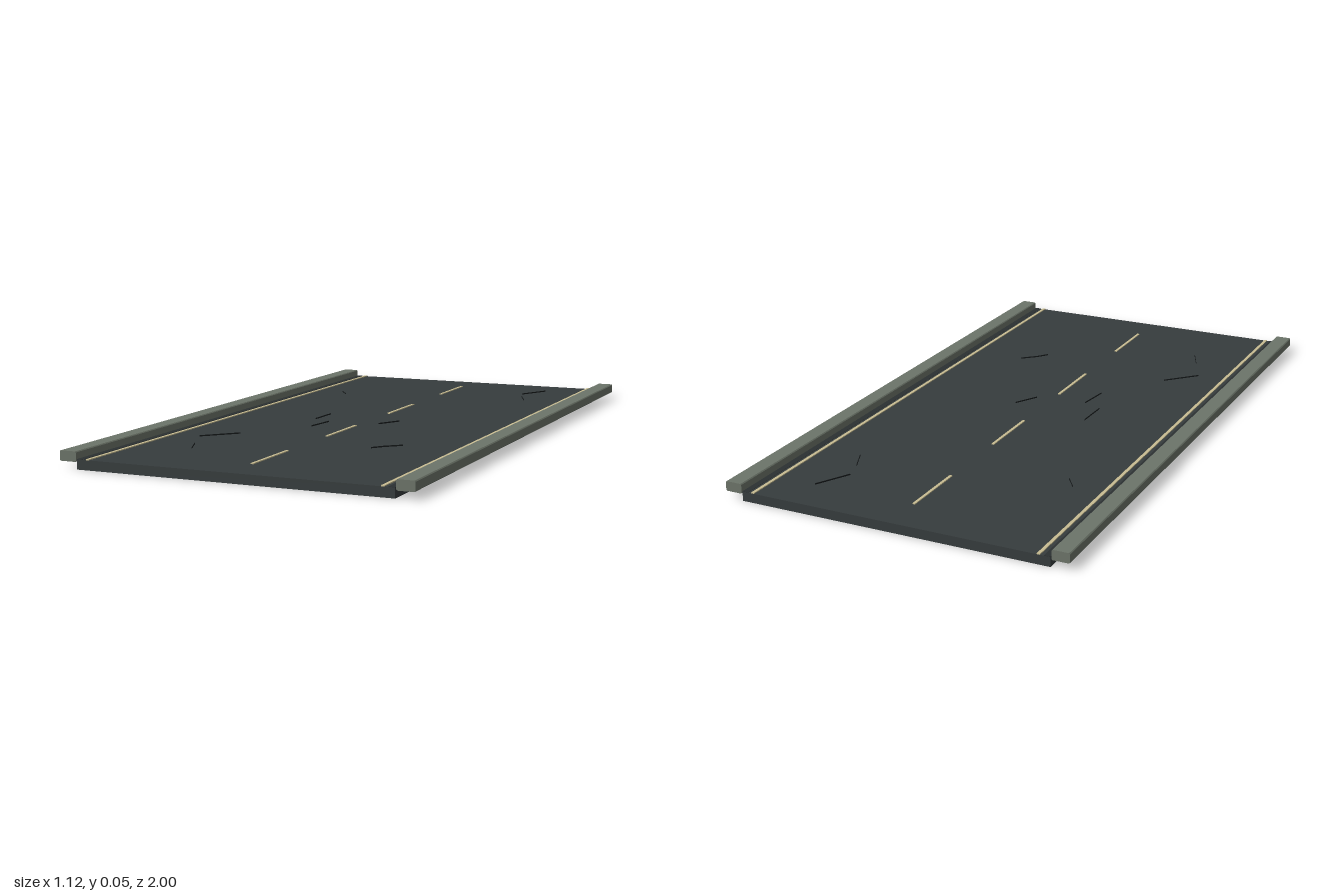
import * as THREE from 'three';

const mat = (name, color) => {
  const m = new THREE.MeshStandardMaterial({ color });
  m.name = name;
  return m;
};

export function createModel() {
  const road = new THREE.Group();
  road.name = 'roadSection';

  const asphalt = mat('asphalt', 0x363c3d);
  const gutterGrey = mat('gutterGrey', 0x2b3031);
  const concrete = mat('kerbConcrete', 0x6c7469);
  const paint = mat('fadedPaint', 0xc8bd92);
  const crackBlack = mat('crackBlack', 0x171b1c);

  const TOP = 0.03; // road surface height

  const add = (name, geometry, material, x, y, z) => {
    const mesh = new THREE.Mesh(geometry, material);
    mesh.name = name;
    mesh.position.set(x, y, z);
    road.add(mesh);
    return mesh;
  };
  // thin plate lying on the road surface
  const plate = (name, w, l, h, material, x, z) =>
    add(name, new THREE.BoxGeometry(w, h, l), material, x, TOP + h / 2, z);

  // Road slab
  add('roadSlab', new THREE.BoxGeometry(1, TOP, 2), asphalt, 0, TOP / 2, 0);

  // Kerb section with slightly chamfered edges, extruded along the road
  const w = 0.0275, h = 0.0155, c = 0.003;
  const section = new THREE.Shape([
    [-w + c, -h], [w - c, -h], [w, -h + c], [w, h - c],
    [w - c, h], [-w + c, h], [-w, h - c], [-w, -h + c],
  ].map(([x, y]) => new THREE.Vector2(x, y)));
  const kerb = new THREE.ExtrudeGeometry(section, { depth: 2, bevelEnabled: false });
  kerb.translate(0, 0, -1);

  // Kerbs, gutters and edge lines on both sides
  for (const [side, s] of [['left', 1], ['right', -1]]) {
    add(side + 'Kerb', kerb, concrete, s * 0.5305, 0.0375, 0);
    plate(side + 'Gutter', 0.02, 2, 0.001, gutterGrey, s * 0.49, 0);
    plate(side + 'EdgeLine', 0.01, 2, 0.003, paint, s * 0.464, 0);
  }

  // Centre dashes
  for (const z of [-0.75, -0.25, 0.25, 0.75]) {
    plate('centreDash', 0.009, 0.225, 0.003, paint, 0, z);
  }

  // Hairline cracks: start x, z and end x, z
  const cracks = [
    [-0.368, 0.518, -0.276, 0.421],
    [-0.283, 0.715, -0.315, 0.641],
    [-0.18, 0.067, -0.177, -0.046],
    [-0.128, 0.207, -0.115, 0.101],
    [0.055, 0.077, 0.098, 0],
    [0.21, 0.495, 0.238, 0.458],
    [0.238, 0.458, 0.282, 0.418],
    [0.279, -0.76, 0.335, -0.866],
    [0.33, -0.62, 0.298, -0.693],
    [-0.365, -0.555, -0.33, -0.505],
  ];
  for (const [x1, z1, x2, z2] of cracks) {
    const crack = plate('crack', 0.0015, Math.hypot(x2 - x1, z2 - z1), 0.004,
      crackBlack, (x1 + x2) / 2, (z1 + z2) / 2);
    crack.rotation.y = Math.atan2(x2 - x1, z2 - z1);
  }

  return road;
}
